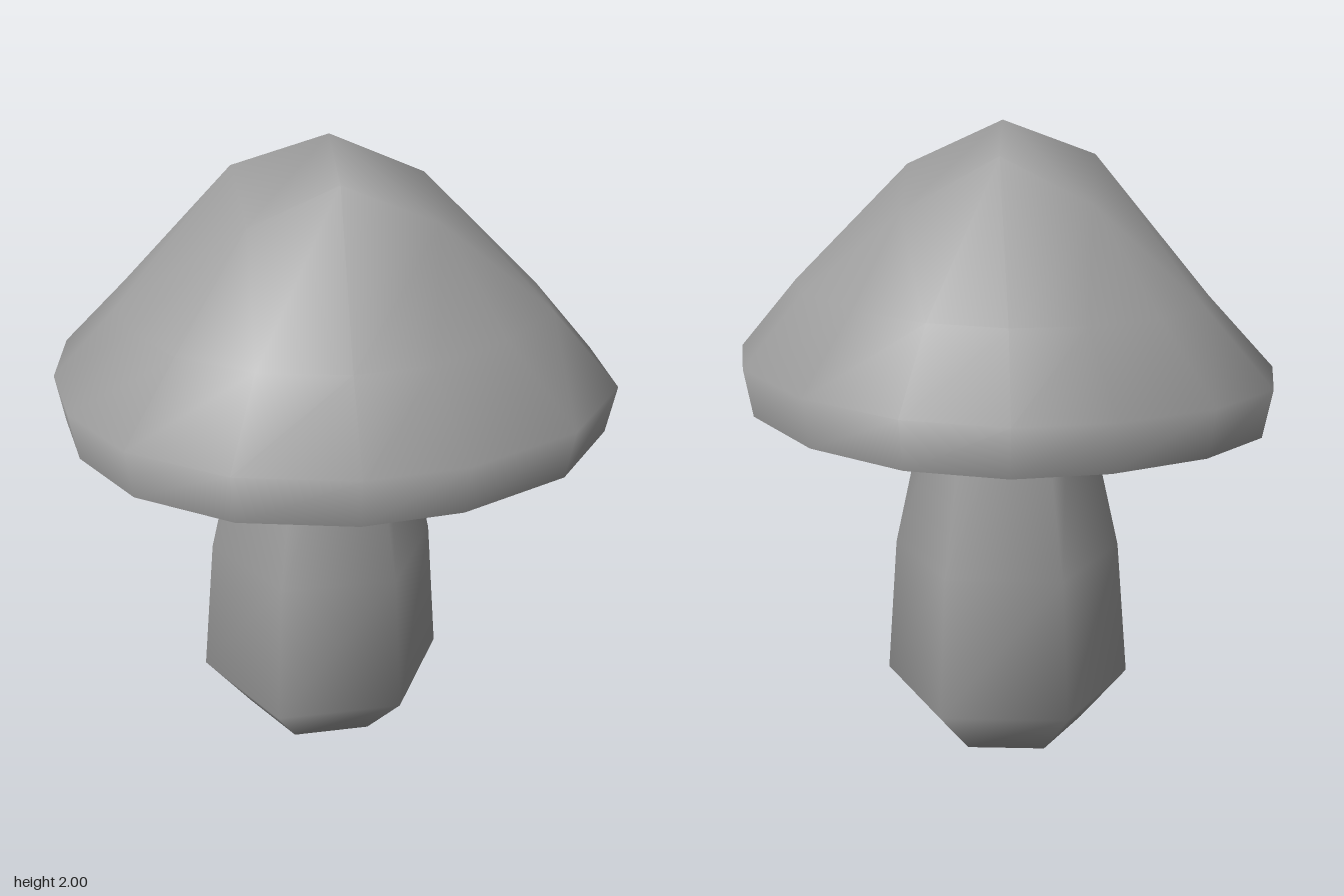
import * as THREE from 'three';
import { mergeVertices } from 'three/addons/utils/BufferGeometryUtils.js';

// Smooth skin over a stack of equal-length rings. Rings run from the bottom
// outwards and up, points turn from +x to +z; repeated points are welded.
function loft(rings) {
  const n = rings[0].length, index = [];
  for (let k = 0; k < rings.length - 1; k++) {
    for (let i = 0; i < n; i++) {
      const a = k * n + i, b = k * n + ((i + 1) % n);
      index.push(a, a + n, b, b, a + n, b + n);
    }
  }
  const geometry = new THREE.BufferGeometry();
  geometry.setAttribute('position', new THREE.Float32BufferAttribute(rings.flat(2), 3));
  geometry.setIndex(index);
  const welded = mergeVertices(geometry);
  welded.computeVertexNormals();
  return welded;
}

// Ring collapsed to one point
const pole = (n, x, y, z) => Array(n).fill([x, y, z]);

// Uneven rim of the cap, seen from above as [x, z]
const rim = [
  [0.84, 0.06], [0.82, 0.36], [0.6, 0.62], [0.26, 0.76],
  [-0.04, 0.78], [-0.38, 0.69], [-0.65, 0.49], [-0.8, 0.22],
  [-0.84, -0.06], [-0.8, -0.34], [-0.61, -0.56], [-0.33, -0.72],
  [-0.05, -0.79], [0.25, -0.74], [0.54, -0.56], [0.77, -0.25],
];

// Crown around the tip: high points on the axes, low ones on the diagonals
const crown = [
  [0.29, 1.87, 0.02], [0.27, 1.8, 0.3],
  [-0.01, 1.915, 0.28], [-0.27, 1.8, 0.26],
  [-0.28, 1.905, -0.02], [-0.27, 1.79, -0.28],
  [0, 1.92, -0.23], [0.28, 1.77, -0.28],
];

// Scaled copy of the rim, slightly tilted; vary(i) changes single points
function capRing(y, scale, vary = () => 1) {
  return rim.map(([x, z], i) => {
    const s = scale * vary(i);
    return [x * s, y + 0.015 * x - 0.012 * z, z * s];
  });
}

const lip = capRing(1.125, 0.97);

function createCap() {
  const unevenness = (i) => ({ 0: 1.03, 1: 1.02, 2: 0.97, 15: 1.02 })[i] ?? 1;
  // each diagonal crown point joins three points of the ring below
  const crownRing = rim.map((_, i) => crown[i % 4 ? 2 * Math.floor(i / 4) + 1 : i / 2]);
  return loft([
    lip,
    capRing(1.275, 1),
    capRing(1.495, 0.755, unevenness),
    crownRing,
    pole(16, 0, 2, 0.04),
  ]);
}

// Hollow underside with a sharp edge against the lip
function createUnderside() {
  return loft([pole(16, 0, 1.39, 0), capRing(1.36, 0.25), lip]);
}

// Six-sided stem, bulging near the foot
function createStem() {
  const ring = (y, r, cx) => Array.from({ length: 6 }, (_, i) => {
    const a = (i * Math.PI) / 3;
    return [cx + r * Math.cos(a), y, r * Math.sin(a) - 0.005];
  });
  return loft([
    pole(6, -0.02, 0, 0),
    ring(0, 0.25, -0.02),
    ring(0.18, 0.403, -0.017),
    ring(0.64, 0.365, -0.015),
    ring(1.4, 0.195, -0.012),
    pole(6, -0.012, 1.4, 0),
  ]);
}

export function createModel() {
  const model = new THREE.Group();
  model.name = 'mushroom';
  const material = new THREE.MeshStandardMaterial({ color: 0x9c9c9c });
  const parts = { cap: createCap(), capUnderside: createUnderside(), stem: createStem() };
  for (const [name, geometry] of Object.entries(parts)) {
    const mesh = new THREE.Mesh(geometry, material);
    mesh.name = name;
    model.add(mesh);
  }
  return model;
}
